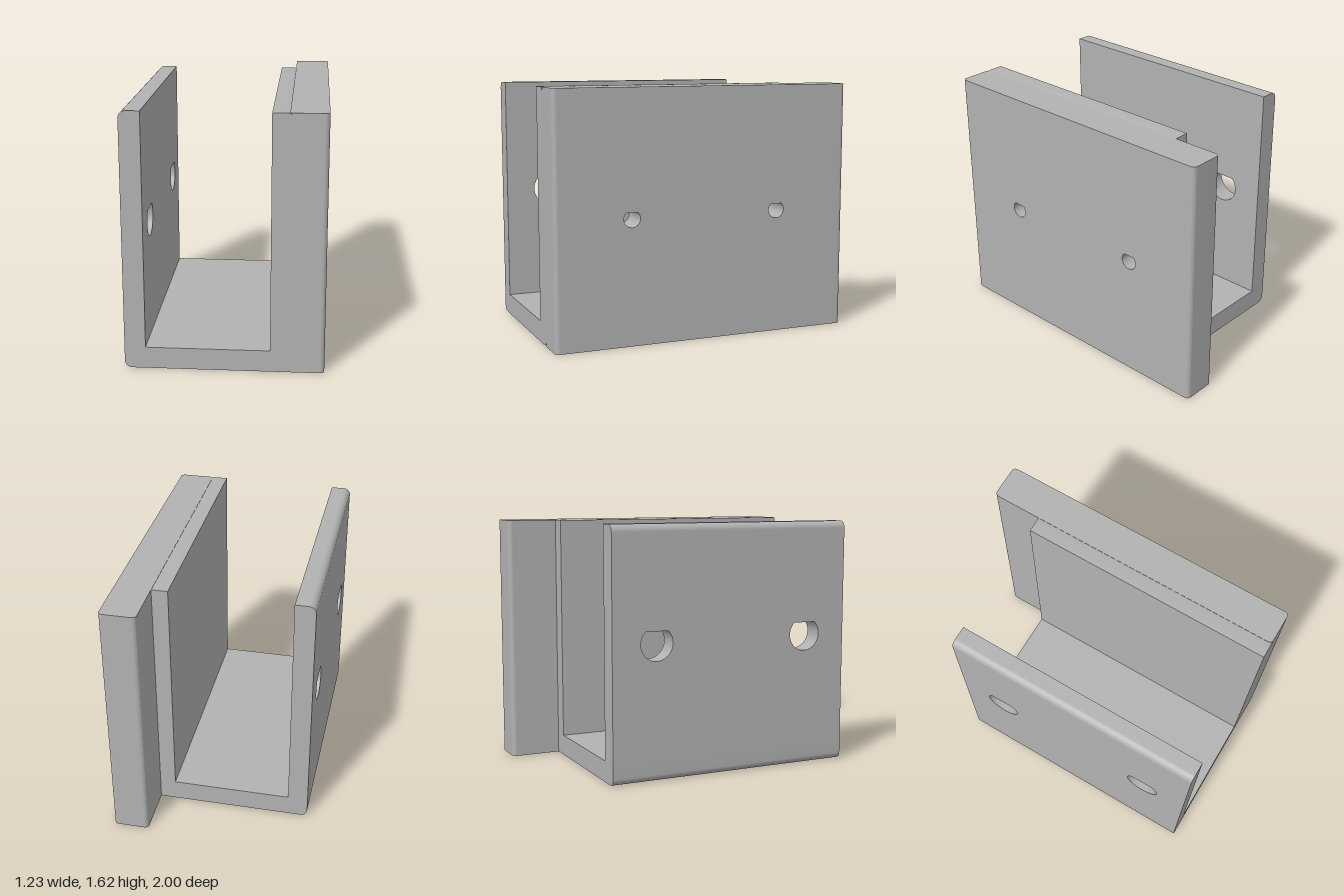
import * as THREE from 'three';
import { toCreasedNormals } from 'three/addons/utils/BufferGeometryUtils.js';

const H = 1.615;                 // overall height
const LEFT = -0.615, INNER_L = -0.485, INNER_R = 0.282, OUTER_R = 0.415;
const FLOOR = 0.137;             // floor thickness
const BACK = -0.67, FRONT = 1;   // channel extent in z
const R = 0.045;                 // channel corner radius
const PLATE_X = 0.5, PLATE_T = 0.23, PLATE_R = 0.028;

export function createModel() {
  const model = new THREE.Group();
  const grey = new THREE.MeshStandardMaterial({ color: 0xb2b2b2 });
  grey.name = 'grey plastic';

  const extrude = (shape, depth) => new THREE.ExtrudeGeometry(shape, { depth, bevelEnabled: false, curveSegments: 16 });
  const add = (name, geometry) => {
    const mesh = new THREE.Mesh(toCreasedNormals(geometry, 0.5), grey);
    mesh.name = name;
    model.add(mesh);
    return mesh;
  };

  // Teardrop hole pointing up, with 45 degree shoulders
  const teardrop = (cx, cy, r) => {
    const path = new THREE.Path();
    path.moveTo(cx, cy + r * Math.SQRT2);
    path.absarc(cx, cy, r, Math.PI * 0.75, Math.PI * 2.25, false);
    path.closePath();
    return path;
  };

  // Upright panel facing x, spanning z0..z1, with teardrop holes [z, y, r]
  const panel = (z0, z1, y0, y1, x0, x1, holes) => {
    const shape = new THREE.Shape();
    shape.moveTo(-z1, y0).lineTo(-z0, y0).lineTo(-z0, y1).lineTo(-z1, y1).closePath();
    holes.forEach(([z, y, r]) => shape.holes.push(teardrop(-z, y, r)));
    return extrude(shape, x1 - x0).rotateY(Math.PI / 2).translate(x0, 0, 0);
  };

  // Channel floor and right wall
  const base = new THREE.Shape();
  base.moveTo(LEFT, R);
  base.absarc(LEFT + R, R, R, Math.PI, Math.PI * 1.5, false);
  base.absarc(OUTER_R - R, R, R, -Math.PI / 2, 0, false);
  base.absarc(OUTER_R - R, H - R, R, 0, Math.PI / 2, false);
  base.lineTo(INNER_R, H);
  base.lineTo(INNER_R, FLOOR);
  base.lineTo(LEFT, FLOOR);
  base.closePath();
  add('channelFloorAndInnerWall', extrude(base, FRONT - BACK).translate(0, 0, BACK));

  // Thin wall with two large access holes
  const midZ = (BACK + FRONT) / 2, holeY = (FLOOR + H) / 2;
  add('thinWall', panel(BACK, FRONT, FLOOR, H - R, LEFT, INNER_L,
    [-0.535, 0.535].map((d) => [midZ + d, holeY, 0.11])));

  // Rounded top edge of the thin wall
  const rim = new THREE.Shape();
  rim.moveTo(LEFT, H - R);
  rim.lineTo(INNER_L, H - R);
  rim.lineTo(INNER_L, H);
  rim.absarc(LEFT + R, H - R, R, Math.PI / 2, Math.PI, false);
  add('thinWallRim', extrude(rim, FRONT - BACK).translate(0, 0, BACK));

  // Mounting plate with two small screw holes
  const half = PLATE_T / 2, end = 1 - PLATE_R;
  add('mountingPlate', panel(-end, end, 0, H, PLATE_X - half, PLATE_X + half,
    [-0.5, 0.5].map((z) => [z, H / 2, 0.055])));

  // Rounded vertical ends of the plate
  const strip = new THREE.Shape();
  strip.moveTo(-half, end);
  strip.lineTo(half, end);
  strip.absarc(half - PLATE_R, end, PLATE_R, 0, Math.PI / 2, false);
  strip.absarc(-half + PLATE_R, end, PLATE_R, Math.PI / 2, Math.PI, false);
  for (const [name, turn] of [['plateBackEdge', 0], ['plateFrontEdge', Math.PI]]) {
    const edge = add(name, extrude(strip, H).rotateX(-Math.PI / 2));
    edge.position.x = PLATE_X;
    edge.rotation.y = turn;
  }

  return model;
}
